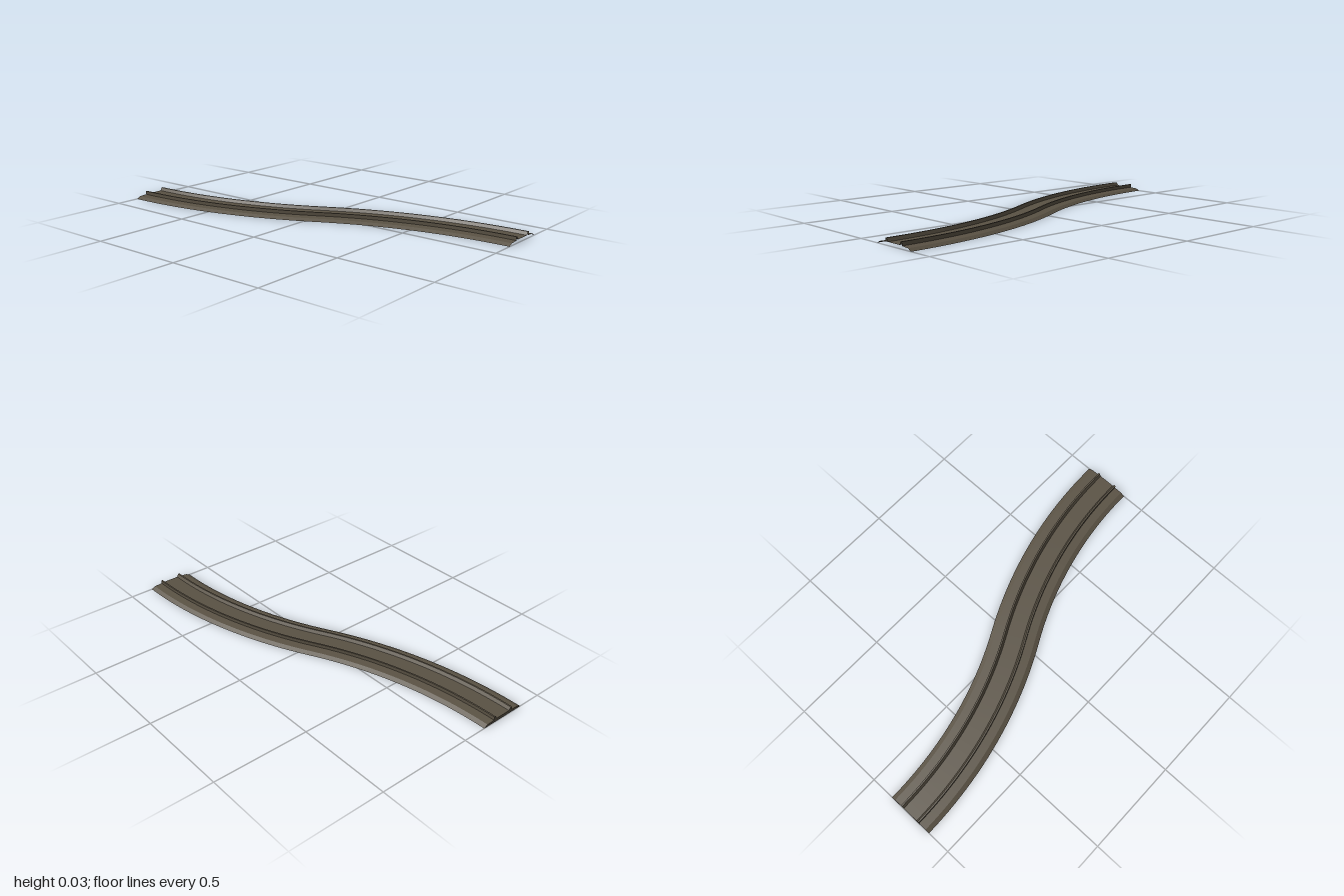
import * as THREE from 'three';

const RADIUS = 2.125;               // radius of each half of the S-bend
const SWEEP = Math.asin(1 / RADIUS); // angle turned by each half
const STEPS = 48;

// Point on the S-bend: t runs -1 (back) to 1 (front), o is the sideways offset
function bend(t, o) {
  if (t < 0) {
    const [x, z] = bend(-t, -o);
    return [-x, -z];
  }
  const a = SWEEP * (1 - t);
  return [0.25 - RADIUS + (RADIUS + o) * Math.cos(a), 1 - (RADIUS + o) * Math.sin(a)];
}

// Sweep an open profile of [offset, height] points; each facet stays crisp across and smooth along
function sweep(profile) {
  const pos = [], index = [];
  for (let j = 0; j < profile.length - 1; j++) {
    const base = pos.length / 3;
    for (let i = 0; i <= STEPS; i++) {
      const t = (2 * i) / STEPS - 1;
      for (const [o, y] of [profile[j], profile[j + 1]]) {
        const [x, z] = bend(t, o);
        pos.push(x, y, z);
      }
      if (i < STEPS) {
        const a = base + 2 * i;
        index.push(a, a + 2, a + 1, a + 1, a + 2, a + 3);
      }
    }
  }
  const geo = new THREE.BufferGeometry();
  geo.setAttribute('position', new THREE.Float32BufferAttribute(pos, 3));
  geo.setIndex(index);
  geo.computeVertexNormals();
  return geo;
}

export function createModel() {
  const group = new THREE.Group();
  group.name = 'curvedTrack';
  const earth = new THREE.MeshStandardMaterial({ color: 0x5a5244, side: THREE.DoubleSide });
  earth.name = 'earthBrown';

  const add = (name, geo) => {
    const mesh = new THREE.Mesh(geo, earth);
    mesh.name = name;
    group.add(mesh);
  };

  // Half profiles, from the centre outwards
  const rail = [[0.043, 0.016], [0.052, 0.032], [0.06, 0.032], [0.06, 0.014]];
  const shoulder = [[0.06, 0.014], [0.103, 0.011], [0.125, 0]];
  const mirror = (p) => p.map(([o, y]) => [-o, y]).reverse();

  // Open shell: bed between the rails, hollow rails, sloping shoulders
  add('bed', sweep([[-0.043, 0.016], [0.043, 0.016]]));
  add('leftRail', sweep(rail));
  add('rightRail', sweep(mirror(rail)));
  add('leftShoulder', sweep(shoulder));
  add('rightShoulder', sweep(mirror(shoulder)));

  // Flat cap closing the back end
  const half = [...rail, ...shoulder.slice(1)];
  const outline = [...mirror(half), ...half].map(([o, y]) => new THREE.Vector2(o, y));
  const cap = new THREE.ShapeGeometry(new THREE.Shape(outline));
  cap.rotateY(Math.PI).translate(-0.25, 0, -1);
  add('backCap', cap);

  return group;
}
